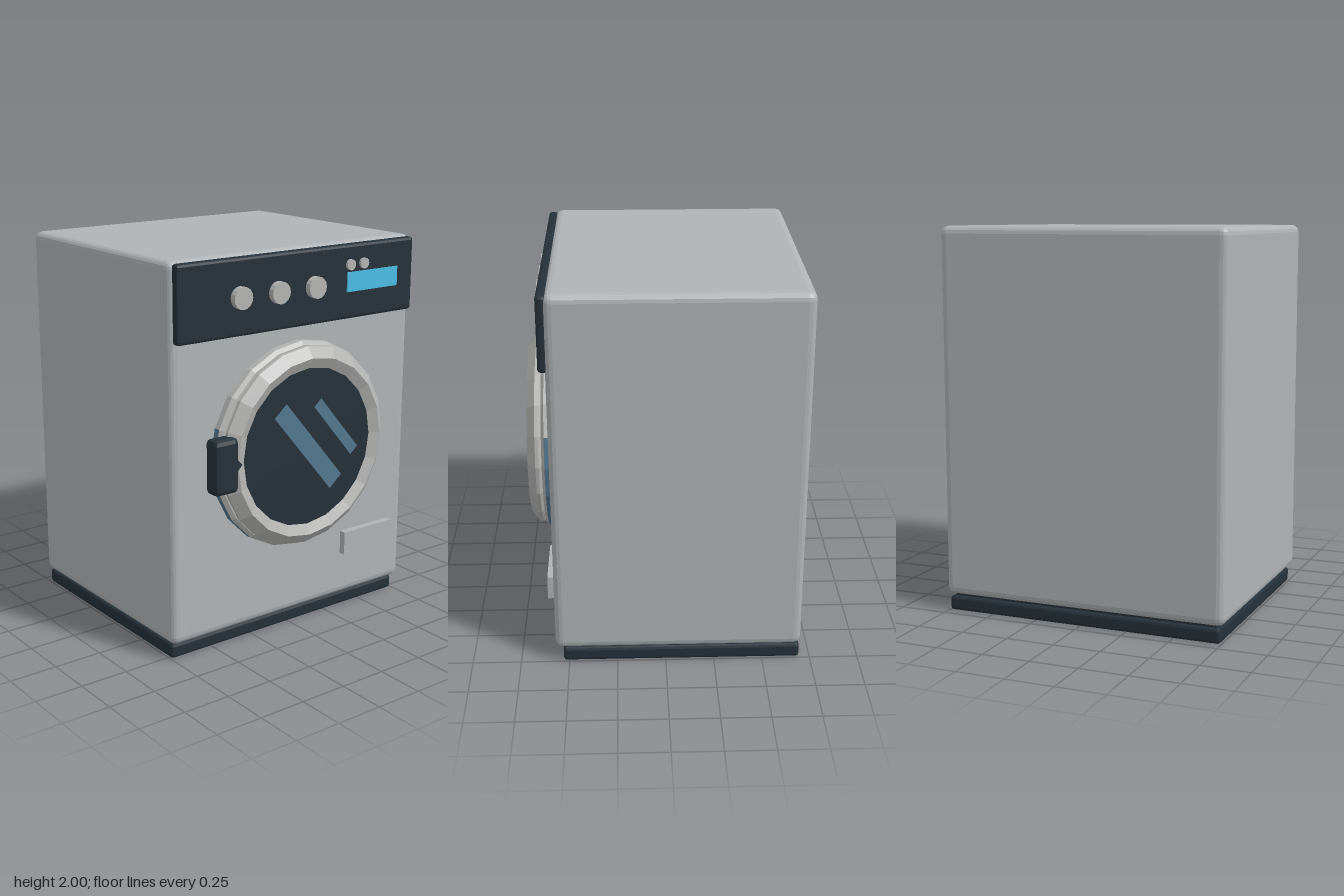
import * as THREE from 'three';
import { RoundedBoxGeometry } from 'three/addons/geometries/RoundedBoxGeometry.js';

const mat = (name, color, opts = {}) => {
  const m = new THREE.MeshStandardMaterial({ color, ...opts });
  m.name = name;
  return m;
};

export function createModel() {
  const grey = mat('bodyGrey', 0xb0b4b6, { flatShading: true });
  const trim = mat('trimGrey', 0xb4b4b3, { flatShading: true });
  const dark = mat('darkSlate', 0x263139, { flatShading: true });
  const cyan = mat('displayCyan', 0x4dbde6, { flatShading: true });
  const blue = mat('glassBlue', 0x53788f, { flatShading: true });

  // Built facing +z, then turned so the door faces +x
  const washer = new THREE.Group();
  washer.name = 'washingMachine';
  const add = (name, geometry, material, x = 0, y = 0, z = 0) => {
    const m = new THREE.Mesh(geometry, material);
    m.name = name;
    m.position.set(x, y, z);
    washer.add(m);
    return m;
  };
  // Box given by its limits; bevel > 0 rounds the edges
  const box = (name, material, [x0, x1], [y0, y1], [z0, z1], bevel = 0, seg = 1) => {
    const s = [x1 - x0, y1 - y0, z1 - z0];
    const g = bevel ? new RoundedBoxGeometry(...s, seg, bevel) : new THREE.BoxGeometry(...s);
    return add(name, g, material, (x0 + x1) / 2, (y0 + y1) / 2, (z0 + z1) / 2);
  };
  // Disc-like part with its axis along z
  const disc = (name, material, r, x, y, z0, z1, sides) =>
    add(name, new THREE.CylinderGeometry(r, r, z1 - z0, sides).rotateX(Math.PI / 2),
      material, x, y, (z0 + z1) / 2);
  // Lathe about the door axis; points are [radius, z], angle 0 is the bottom
  const doorY = 1.005;
  const ring = (name, material, pts, seg = 20, start = 0, sweep = Math.PI * 2) =>
    add(name, new THREE.LatheGeometry(pts.map(p => new THREE.Vector2(...p)), seg, start, sweep)
      .rotateX(Math.PI / 2), material, 0, doorY, 0);

  // Cabinet and plinth
  box('cabinet', grey, [-0.765, 0.765], [0.085, 2], [-0.7, 0.57], 0.04, 2);
  box('plinth', dark, [-0.745, 0.745], [0, 0.076], [-0.695, 0.53], 0.015);
  box('plinthGap', dark, [-0.72, 0.72], [0.06, 0.1], [-0.67, 0.51]);

  // Control panel
  box('controlPanel', dark, [-0.745, 0.745], [1.61, 1.99], [0.555, 0.605], 0.015);
  for (const x of [-0.385, -0.155, 0.075]) disc('knob', trim, 0.055, x, 1.8, 0.6, 0.637, 16);
  for (const x of [0.308, 0.397]) disc('button', trim, 0.028, x, 1.888, 0.6, 0.62, 12);
  box('display', cyan, [0.29, 0.63], [1.75, 1.85], [0.604, 0.612]);

  // Door seal ring: lower part of its rim is blue
  const arc = THREE.MathUtils.degToRad(108);
  const rim = [[0.535, 0.56], [0.535, 0.605]];
  ring('rimLower', blue, rim, 12, -arc, 2 * arc);
  ring('rimUpper', trim, rim, 8, arc, 2 * Math.PI - 2 * arc);
  ring('rimFace', trim, [[0.535, 0.605], [0.515, 0.62], [0.38, 0.62]]);

  // Door frame, glass and reflections
  ring('doorFrame', trim, [[0.495, 0.615], [0.515, 0.635], [0.515, 0.652], [0.462, 0.695],
    [0.405, 0.668], [0.405, 0.615]]);
  disc('doorGlass', dark, 0.41, 0, doorY, 0.61, 0.67, 40);
  for (const [x, y, length, width] of [[0, 1.005, 0.565, 0.097], [0.18, 1.08, 0.383, 0.058]]) {
    add('reflection', new THREE.BoxGeometry(length, width, 0.006), blue, x, y, 0.672)
      .rotation.z = -0.867;
  }

  // Door handle with its latch
  box('handle', dark, [-0.595, -0.455], [0.865, 1.145], [0.605, 0.7], 0.025);
  disc('handleLatch', dark, 0.035, -0.47, 1.005, 0.62, 0.695, 4);

  // Filter flap
  box('filterFlap', grey, [0.32, 0.655], [0.325, 0.45], [0.56, 0.605]);

  washer.rotation.y = Math.PI / 2;
  const model = new THREE.Group();
  model.add(washer);
  return model;
}
